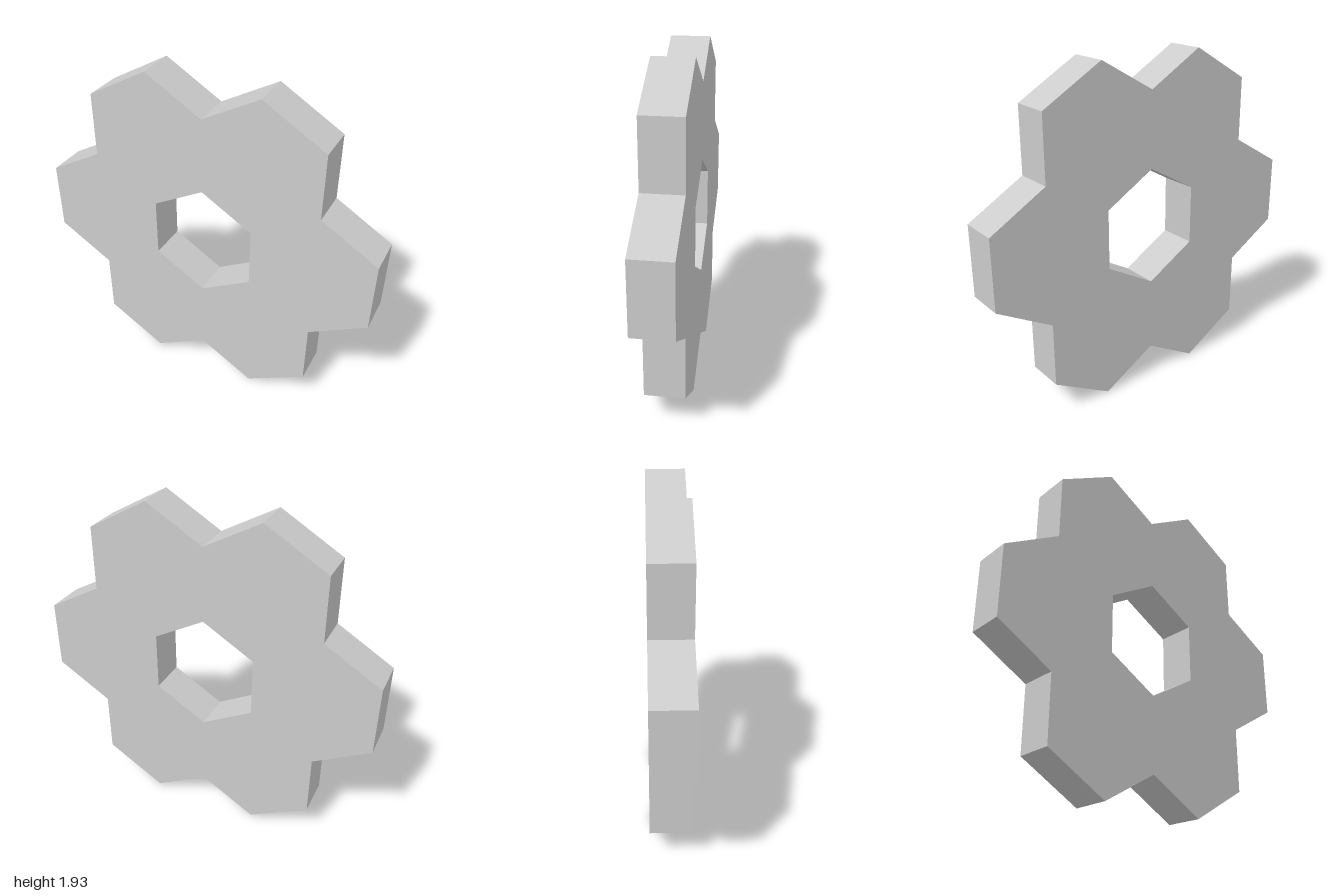
import * as THREE from 'three';

const CENTRE_Y = 0.968;
const DEPTH = 0.224;

// Point at a given radius and angle (degrees) around the hub
const polar = (r, deg) => {
  const a = THREE.MathUtils.degToRad(deg);
  return new THREE.Vector2(r * Math.cos(a), r * Math.sin(a));
};

export function createModel() {
  const group = new THREE.Group();
  group.name = 'hexagonRing';

  // Six lobes, each with two outer corners and a notch, around a hexagonal hole
  const outline = [];
  const hole = [];
  for (let i = 0; i < 6; i++) {
    const a = i * 60;
    outline.push(polar(1.0202, a - 11.45), polar(1.0202, a + 11.45), polar(0.781, a + 30));
    hole.push(polar(0.344, a + 30));
  }
  const shape = new THREE.Shape(outline);
  shape.holes.push(new THREE.Path(hole));

  const geometry = new THREE.ExtrudeGeometry(shape, { depth: DEPTH, bevelEnabled: false });
  geometry.translate(0, CENTRE_Y, -DEPTH / 2);

  const plate = new THREE.Mesh(
    geometry,
    new THREE.MeshStandardMaterial({ color: 0xcccccc, flatShading: true })
  );
  plate.name = 'ringPlate';
  group.add(plate);
  return group;
}
